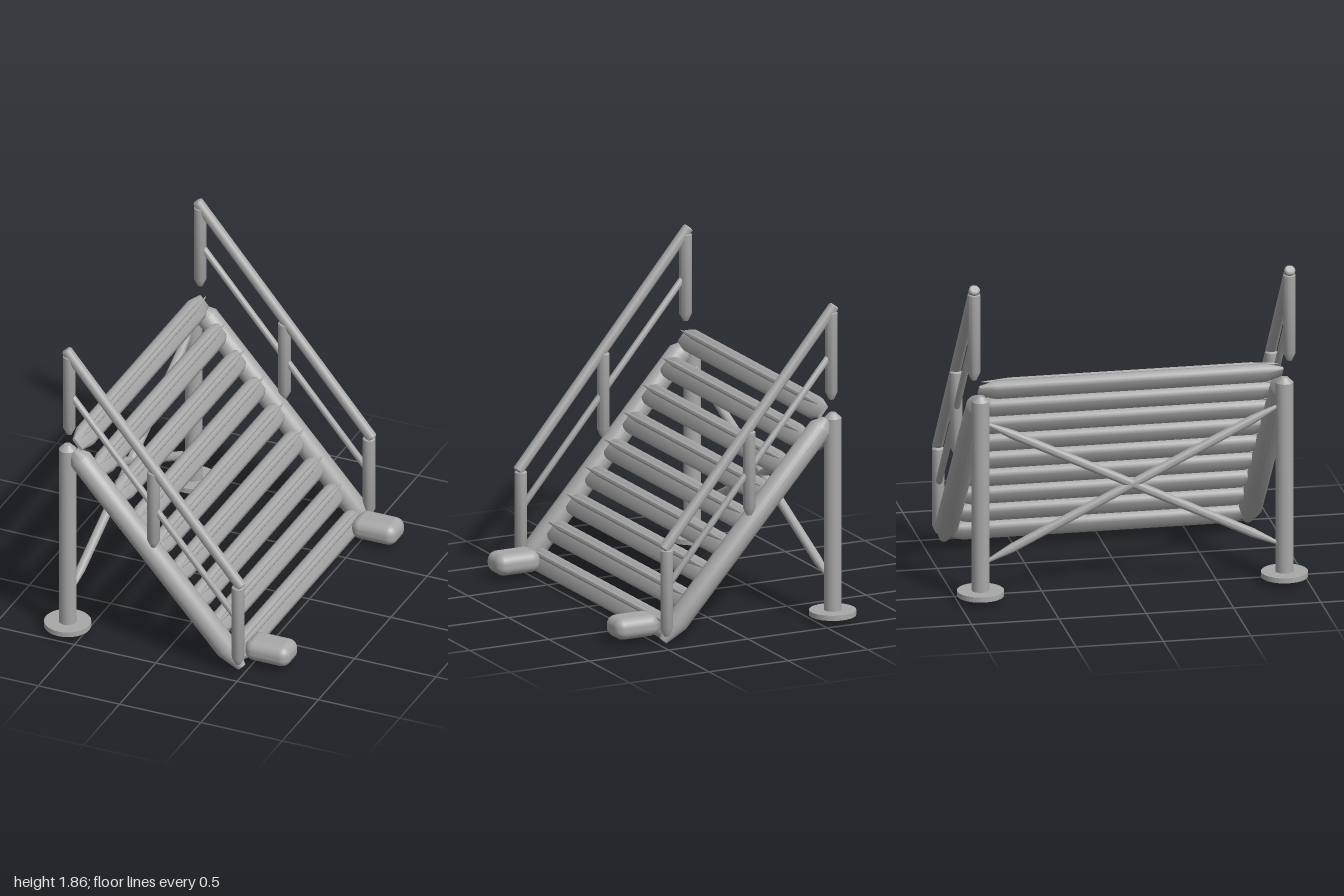
import * as THREE from 'three';
import { toCreasedNormals } from 'three/addons/utils/BufferGeometryUtils.js';
import { RoundedBoxGeometry } from 'three/addons/geometries/RoundedBoxGeometry.js';

const UP = new THREE.Vector3(0, 1, 0);

export function createModel() {
  const model = new THREE.Group();
  model.name = 'stairway';
  const grey = new THREE.MeshStandardMaterial({ color: 0xa8a8a8 });
  grey.name = 'grey metal';

  function add(name, geometry, x = 0, y = 0, z = 0) {
    const mesh = new THREE.Mesh(geometry, grey);
    mesh.name = name;
    mesh.position.set(x, y, z);
    model.add(mesh);
    return mesh;
  }

  // Round bar between two points; each end narrows over the given length
  function bar(name, from, to, r, startTaper, endTaper, tip = 0.4, sides = 20) {
    const a = new THREE.Vector3(...from), b = new THREE.Vector3(...to);
    const dir = b.clone().sub(a), len = dir.length();
    const profile = [
      [0, 0], [r * tip, 0], [r, startTaper],
      [r, len - endTaper], [r * tip, len], [0, len],
    ].map(([x, y]) => new THREE.Vector2(x, y));
    const geometry = toCreasedNormals(new THREE.LatheGeometry(profile, sides), 0.6);
    const mesh = add(name, geometry, ...from);
    mesh.quaternion.setFromUnitVectors(UP, dir.normalize());
  }

  // Plank along z with chamfered edges and narrowing ends
  function plankGeometry(width, height, length, chamfer, taper, inset) {
    const w = width / 2, h = height / 2, c = chamfer;
    const shape = new THREE.Shape([
      [w, -h + c], [w, h - c], [w - c, h], [-w + c, h],
      [-w, h - c], [-w, -h + c], [-w + c, -h], [w - c, -h],
    ].map(([x, y]) => new THREE.Vector2(x, y)));
    const geometry = new THREE.ExtrudeGeometry(shape, {
      depth: length - 2 * taper, bevelEnabled: true, bevelSegments: 1,
      bevelThickness: taper, bevelSize: inset, bevelOffset: -inset,
    });
    geometry.translate(0, 0, taper - length / 2);
    return toCreasedNormals(geometry, 0.85);
  }

  // Nine sloping treads, each with a thin grip strip
  const treadGeometry = plankGeometry(0.132, 0.068, 1.74, 0.02, 0.1, 0.025);
  const tilt = Math.atan2(-0.144, 0.12);
  for (let i = 0; i < 9; i++) {
    const x = -0.54 + 0.12 * i, y = 1.232 - 0.144 * i;
    add('tread', treadGeometry, x, y).rotation.z = tilt;
    bar('gripStrip', [x + 0.022, y + 0.043, -0.85], [x + 0.022, y + 0.043, 0.85],
      0.017, 0.16, 0.16, 0.15, 8);
  }

  for (const s of [-1, 1]) {
    const zLeg = 0.87 * s, zRail = 0.903 * s;

    // Rear legs on round feet
    bar('leg', [-0.6, 0.05, zLeg], [-0.6, 1.22, zLeg], 0.05, 0.01, 0.03);
    add('foot', new THREE.CylinderGeometry(0.133, 0.133, 0.03, 32), -0.6, 0.055, zLeg);

    // Side beams carrying the treads
    bar('sideBeam', [-0.56, 1.185, zLeg], [0.47, 0.025, zLeg], 0.066, 0.06, 0.13);

    // Handrail
    const posts = [[-0.575, 1.31, 1.83], [-0.057, 0.7, 1.2], [0.463, 0.06, 0.575]];
    for (const [x, low, high] of posts)
      bar('railPost', [x, low, zRail], [x, high, zRail], 0.036, 0.045, 0.015);
    bar('topRail', [-0.595, 1.855, zRail], [0.485, 0.565, zRail], 0.031, 0.008, 0.008, 0.75);
    bar('midRail', [-0.575, 1.58, zRail], [0.463, 0.345, zRail], 0.019, 0.03, 0.03);

    // Rounded ground pads at the lower end
    add('groundPad', new RoundedBoxGeometry(0.275, 0.125, 0.185, 5, 0.055), 0.593, 0.098, 0.737 * s);

    // Crossed braces between the legs
    bar('crossBrace', [-0.6, 0.22, zLeg], [-0.6, 1.07, -zLeg], 0.026, 0.2, 0.2, 0.25);
  }

  return model;
}
